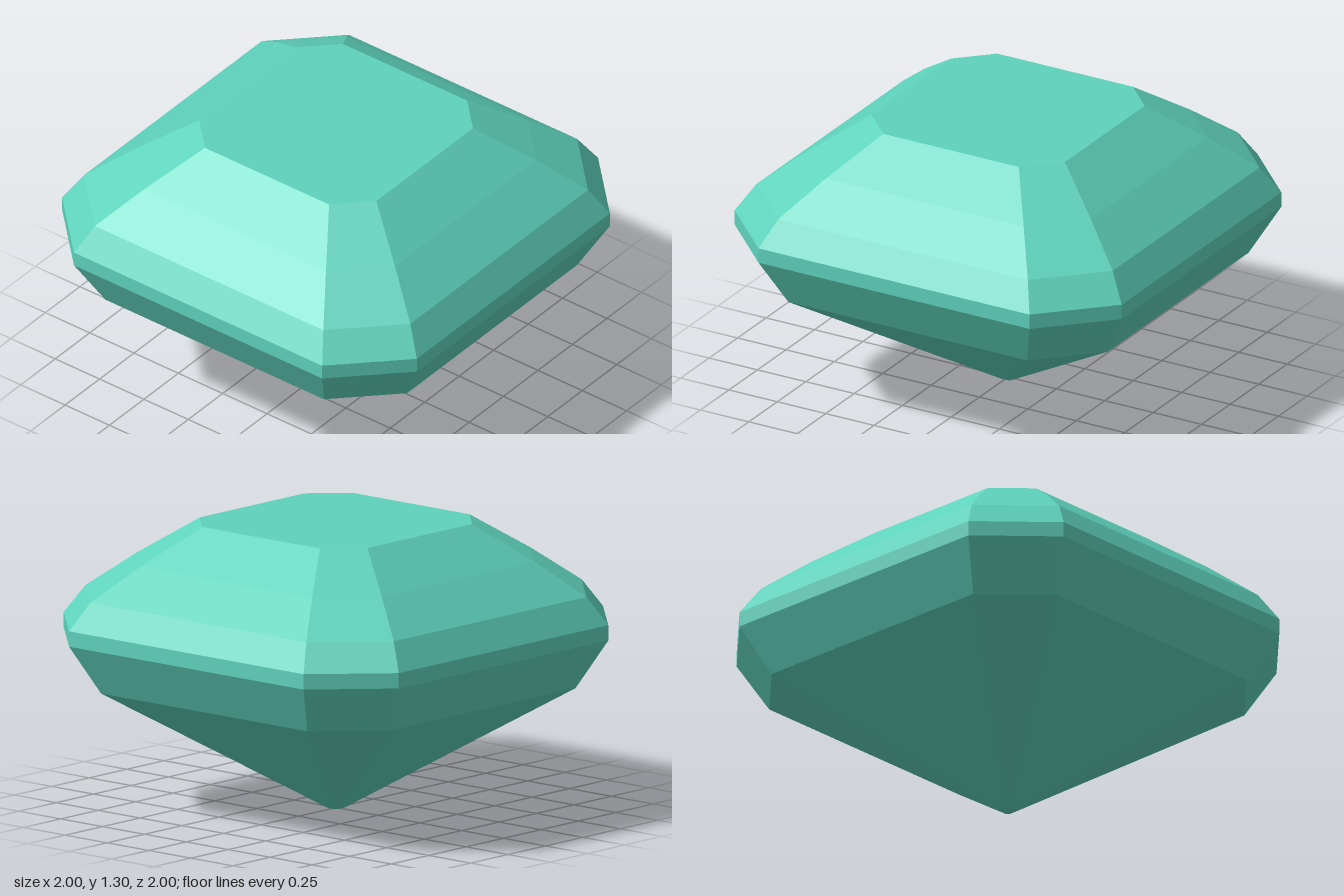
import * as THREE from 'three';

const CORNER = 0.7; // where the cut corners start, as a share of the half width

// Cut-corner square ring at height y
function ring([half, y]) {
  const c = half * CORNER;
  return [[half, -c], [half, c], [c, half], [-c, half],
    [-half, c], [-half, -c], [-c, -half], [c, -half]]
    .map(([x, z]) => new THREE.Vector3(x, y, z));
}

// Flat facets between rings listed from bottom to top, with optional end caps
function facets(levels, capBottom, capTop) {
  const rings = levels.map(ring);
  const points = [];
  for (let r = 0; r < rings.length - 1; r++) {
    const low = rings[r], high = rings[r + 1];
    for (let i = 0; i < 8; i++) {
      const j = (i + 1) % 8;
      points.push(low[i], high[i], low[j], high[i], high[j], low[j]);
    }
  }
  const first = rings[0], last = rings[rings.length - 1];
  for (let i = 1; i < 7; i++) {
    if (capBottom) points.push(first[0], first[i], first[i + 1]);
    if (capTop) points.push(last[0], last[i + 1], last[i]);
  }
  const geometry = new THREE.BufferGeometry().setFromPoints(points);
  geometry.computeVertexNormals();
  return geometry;
}

export function createModel() {
  const gem = new THREE.Group();
  gem.name = 'gem';
  const material = new THREE.MeshStandardMaterial({ color: 0x5fd3bc, flatShading: true });
  material.name = 'sea green';

  const add = (name, ...args) => {
    const mesh = new THREE.Mesh(facets(...args), material);
    mesh.name = name;
    gem.add(mesh);
  };

  // Pointed underside with a tiny flat tip
  add('pavilion', [[0.03, 0], [0.88, 0.57], [1, 0.79]], true, false);
  // Thin upright band at the widest point
  add('girdle', [[1, 0.79], [1, 0.86]], false, false);
  // Three stepped facets rising to the flat table
  add('crown', [[1, 0.86], [0.92, 0.985], [0.73, 1.14], [0.5, 1.305]], false, true);

  return gem;
}
